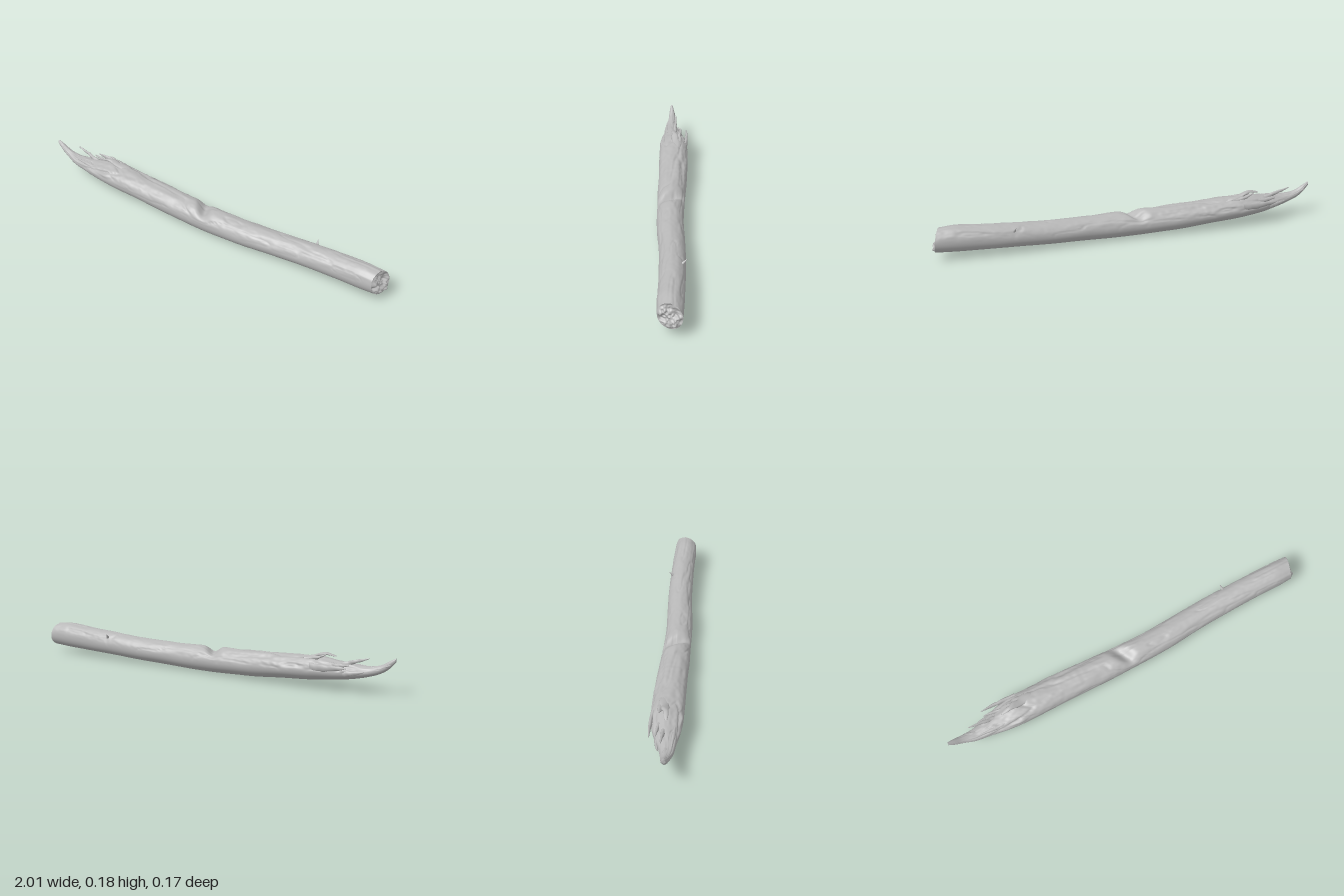
import * as THREE from 'three';

// Seeded value noise, periodic in v with period p
const hash = (i, j) => {
  const s = Math.sin(i * 127.1 + j * 311.7) * 43758.5453;
  return s - Math.floor(s);
};
function noise(u, v, p) {
  const i = Math.floor(u), j = Math.floor(v);
  const ease = t => t * t * (3 - 2 * t);
  const a = ease(u - i), b = ease(v - j);
  const h = (m, n) => hash(m, ((n % p) + p) % p);
  return THREE.MathUtils.lerp(
    THREE.MathUtils.lerp(h(i, j), h(i + 1, j), a),
    THREE.MathUtils.lerp(h(i, j + 1), h(i + 1, j + 1), a), b) * 2 - 1;
}

// Trunk cross-sections: x, bottom y, top y, back z, front z
const sections = [
  [-1.0, 0.168, 0.188, -0.006, 0.008],
  [-0.97, 0.135, 0.172, -0.014, 0.014],
  [-0.93, 0.108, 0.148, -0.02, 0.02],
  [-0.87, 0.085, 0.135, -0.028, 0.036],
  [-0.8, 0.068, 0.138, -0.045, 0.045],
  [-0.72, 0.055, 0.145, -0.07, 0.06],
  [-0.62, 0.045, 0.158, -0.085, 0.072],
  [-0.4, 0.026, 0.148, -0.079, 0.075],
  [-0.2, 0.012, 0.141, -0.07, 0.079],
  [0.0, 0.004, 0.138, -0.056, 0.084],
  [0.2, 0.009, 0.133, -0.051, 0.084],
  [0.4, 0.018, 0.136, -0.055, 0.073],
  [0.6, 0.028, 0.15, -0.055, 0.072],
  [0.8, 0.035, 0.163, -0.046, 0.077],
  [0.9, 0.038, 0.17, -0.04, 0.082],
  [0.98, 0.042, 0.164, -0.035, 0.08],
];
const slope = (i, k) => {
  const a = sections[Math.max(i - 1, 0)], b = sections[Math.min(i + 1, sections.length - 1)];
  return (b[k] - a[k]) / (b[0] - a[0]);
};
function sectionAt(x) {
  let i = 0;
  while (i < sections.length - 2 && x > sections[i + 1][0]) i++;
  const A = sections[i], B = sections[i + 1], d = B[0] - A[0], t = (x - A[0]) / d;
  const t2 = t * t, t3 = t2 * t;
  return [1, 2, 3, 4].map(k =>
    A[k] * (2 * t3 - 3 * t2 + 1) + B[k] * (3 * t2 - 2 * t3) +
    d * (slope(i, k) * (t3 - 2 * t2 + t) + slope(i + 1, k) * (t3 - t2)));
}

// Point on the trunk: knots, lengthwise grain, cracks and the notch on top
function trunkPoint(x, turn, scale = 1) {
  const a = turn * Math.PI * 2;
  const [y0, y1, z0, z1] = sectionAt(x);
  const hy = (y1 - y0) / 2, hz = (z1 - z0) / 2;
  const upper = THREE.MathUtils.smoothstep(Math.sin(a), -0.25, 0.6);
  const worn = 0.6 + 0.8 * THREE.MathUtils.smoothstep(-x, 0.0, 0.7);
  const v = turn + x * 0.03;
  let r = 1 + 0.025 * noise(x * 7, v * 6, 6);
  r += upper * worn * (0.04 * noise(x * 14 + 9, v * 24, 24) + 0.018 * noise(x * 50, v * 40, 40));
  const crack = Math.abs(noise(x * 6 + 31, v * 14, 14));
  r -= upper * worn * 0.08 * Math.max(0, 1 - crack / 0.14);
  r *= scale;
  const notch = 0.036 * Math.exp(-(((x + 0.02 - 0.03 * Math.cos(a)) / 0.035) ** 2)) * Math.max(0, Math.sin(a)) ** 2;
  const y = (y0 + y1) / 2 + hy * r * Math.sin(a) - notch * scale;
  const z = (z0 + z1) / 2 + hz * r * Math.cos(a);
  // The sawn end leans back
  const end = THREE.MathUtils.smoothstep(x, 0.8, 0.98);
  return [x + end * (-0.33 * (z - 0.02) - 0.12 * (y - 0.1)), y, z];
}

// Rings of points joined into a smooth skin; the last index wraps round
function loft(point, rings, sides) {
  const pos = [], index = [];
  for (let i = 0; i <= rings; i++)
    for (let j = 0; j < sides; j++) pos.push(...point(i / rings, j / sides));
  for (let i = 0; i < rings; i++)
    for (let j = 0; j < sides; j++) {
      const k = (j + 1) % sides, a = i * sides, b = a + sides;
      index.push(a + j, b + j, a + k, b + j, b + k, a + k);
    }
  const g = new THREE.BufferGeometry();
  g.setAttribute('position', new THREE.Float32BufferAttribute(pos, 3));
  g.setIndex(index);
  g.computeVertexNormals();
  return g;
}

// Tapered, flattened splinter along a path
function splinterGeometry(path, ry, rz) {
  const curve = new THREE.CatmullRomCurve3(path.map(p => new THREE.Vector3(...p)));
  return loft((u, v) => {
    const c = curve.getPoint(u), a = v * Math.PI * 2;
    const r = Math.max(0.02, (1 - u) ** 0.55) * (1 + 0.3 * noise(u * 9 + ry * 900, v * 5, 5));
    // Paths run towards -x, so the ring turns the other way
    return [c.x + 0.3 * rz * r * Math.sin(a * 2), c.y - ry * r * Math.sin(a), c.z + rz * r * Math.cos(a)];
  }, 18, 10);
}

export function createModel() {
  const group = new THREE.Group();
  const wood = new THREE.MeshStandardMaterial({ color: 0xb8b8b8 });
  wood.name = 'weathered grey wood';
  wood.side = THREE.DoubleSide;
  const add = (name, geometry) => {
    const mesh = new THREE.Mesh(geometry, wood);
    mesh.name = name;
    group.add(mesh);
    return mesh;
  };

  add('trunk', loft((u, v) => trunkPoint(-1 + 1.98 * u, v), 300, 80));

  // Rough broken face at the thick end
  add('brokenEnd', loft((u, v) => {
    const [x, y, z] = trunkPoint(0.98, v, Math.max(1 - u, 0.001));
    const bump = 0.014 * noise(y * 45, z * 45 + 50, 999) + 0.007 * noise(y * 110, z * 110 + 200, 999);
    return [x + bump * Math.min(1, u * 5), y, z];
  }, 16, 80));

  // Closed tip of the thin end
  add('thinTip', loft((u, v) => trunkPoint(-1, v, Math.max(u, 0.001)), 2, 80));

  // Splinters at the torn end: path, half height, half depth
  const splinters = [
    [[[-0.84, 0.12, 0.0], [-0.92, 0.13, -0.008], [-0.98, 0.155, -0.014]], 0.014, 0.012],
    [[[-0.74, 0.13, -0.015], [-0.81, 0.155, -0.02], [-0.88, 0.178, -0.022]], 0.013, 0.01],
    [[[-0.6, 0.115, -0.07], [-0.7, 0.122, -0.08], [-0.79, 0.13, -0.08]], 0.022, 0.011],
    [[[-0.66, 0.125, -0.035], [-0.73, 0.13, -0.045], [-0.79, 0.14, -0.05]], 0.016, 0.01],
    [[[-0.52, 0.14, -0.02], [-0.6, 0.158, -0.02], [-0.65, 0.175, -0.012], [-0.71, 0.165, -0.005]], 0.012, 0.026],
    [[[-0.56, 0.145, -0.04], [-0.63, 0.16, -0.04], [-0.67, 0.178, -0.04]], 0.01, 0.013],
    [[[-0.66, 0.12, 0.03], [-0.76, 0.125, 0.03], [-0.85, 0.13, 0.026]], 0.016, 0.014],
    [[[-0.72, 0.095, -0.045], [-0.79, 0.1, -0.045], [-0.86, 0.112, -0.036]], 0.018, 0.012],
  ];
  splinters.forEach(([path, ry, rz], i) => add('splinter' + (i + 1), splinterGeometry(path, ry, rz)));

  // Small snapped twig on the back
  const twig = add('twigStub', new THREE.ConeGeometry(0.011, 0.045, 8, 3));
  twig.position.set(0.605, 0.135, -0.045);
  twig.rotation.set(-0.8, 0, 0.2);

  return group;
}
